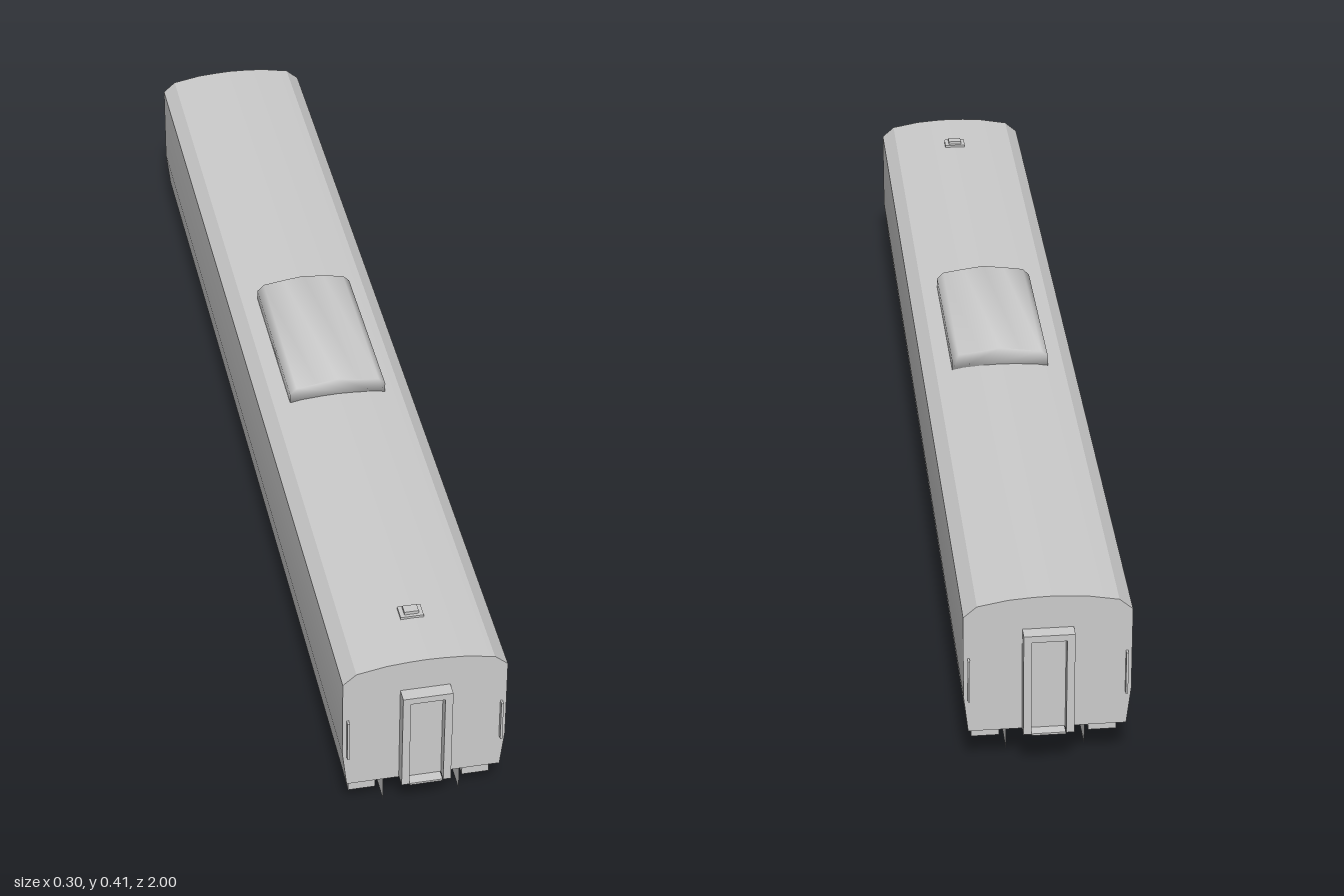
import * as THREE from 'three';
import { mergeVertices, toCreasedNormals } from 'three/addons/utils/BufferGeometryUtils.js';

const material = new THREE.MeshStandardMaterial({ color: 0xcccccc });
const thinMaterial = new THREE.MeshStandardMaterial({ color: 0xcccccc, side: THREE.DoubleSide });

// Closed outline from the right half of a symmetric profile, bottom to top
function mirroredShape(half) {
  const left = half.filter(([x]) => x > 0).reverse().map(([x, y]) => [-x, y]);
  return new THREE.Shape([...half, ...left].map(([x, y]) => new THREE.Vector2(x, y)));
}

// Extrusion running along z from z0 to z1
function extrudeZ(shape, z0, z1) {
  return new THREE.ExtrudeGeometry(shape, { depth: z1 - z0, bevelEnabled: false }).translate(0, 0, z0);
}

export function createModel() {
  const model = new THREE.Group();

  function add(name, geometry, mat = material) {
    const mesh = new THREE.Mesh(geometry, mat);
    mesh.name = name;
    model.add(mesh);
    return mesh;
  }

  // Box given by its limits on each axis
  function box(name, x0, x1, y0, y1, z0, z1) {
    const g = new THREE.BoxGeometry(x1 - x0, y1 - y0, z1 - z0);
    return add(name, g.translate((x0 + x1) / 2, (y0 + y1) / 2, (z0 + z1) / 2));
  }

  // Box repeated on both sides of the carriage
  function sideBoxes(name, x0, x1, y0, y1, z0, z1) {
    box(name + 'Left', x0, x1, y0, y1, z0, z1);
    box(name + 'Right', -x1, -x0, y0, y1, z0, z1);
  }

  // Carriage body with curved roof
  const bodyShape = mirroredShape([
    [0.14, 0.097], [0.148, 0.17], [0.148, 0.335], [0.124, 0.356], [0.07, 0.366], [0.03, 0.369], [0, 0.37],
  ]);
  add('body', toCreasedNormals(extrudeZ(bodyShape, -0.975, 0.975), 0.45));

  // Softly shaded roof pod
  const podShape = mirroredShape([
    [0.093, 0.355], [0.093, 0.381], [0.08, 0.394], [0.04, 0.4], [0, 0.405],
  ]);
  let pod = extrudeZ(podShape, -0.145, 0.2);
  pod.deleteAttribute('normal');
  pod.deleteAttribute('uv');
  pod = mergeVertices(pod);
  pod.computeVertexNormals();
  add('roofPod', pod);

  // Roof vent
  box('ventBase', -0.021, 0.021, 0.365, 0.374, 0.833, 0.863);
  box('ventCap', -0.013, 0.013, 0.374, 0.38, 0.839, 0.857);

  // End gangways, corner rails and coupling plates
  for (const s of [1, -1]) {
    const z = (a, b) => (s > 0 ? [a, b] : [-b, -a]);
    sideBoxes('gangwayPost', 0.031, 0.045, 0.1, 0.305, ...z(0.97, 1));
    box('gangwayLintel', -0.031, 0.031, 0.292, 0.305, ...z(0.97, 1));
    box('gangwayDoor', -0.031, 0.031, 0.1, 0.292, ...z(0.97, 0.98));
    sideBoxes('cornerRail', 0.137, 0.141, 0.165, 0.25, ...z(0.97, 0.985));
    box('couplingPlate', -0.03, 0.03, 0.097, 0.101, ...z(0.95, 1));
  }

  // Long thin underframe sheets
  for (const x of [-0.07, 0.07]) {
    const sheet = new THREE.PlaneGeometry(1.905, 0.065).rotateY(Math.PI / 2);
    add('underframeSheet', sheet.translate(x, 0.0655, 0.0075), thinMaterial);
  }

  // Underfloor equipment
  sideBoxes('endStepBox', 0.08, 0.13, 0.047, 0.1, 0.895, 0.94);
  sideBoxes('endStepBox', 0.08, 0.13, 0.047, 0.1, -0.92, -0.87);
  sideBoxes('batteryBox', 0.085, 0.117, 0.033, 0.1, 0.25, 0.43);
  sideBoxes('equipmentBox', 0.09, 0.126, 0.053, 0.1, -0.32, -0.12);
  box('airTank', -0.085, -0.012, 0.056, 0.081, 0.06, 0.16);
  box('smallLocker', 0.08, 0.115, 0.055, 0.085, 0.06, 0.16);
  sideBoxes('bogieStep', 0.085, 0.1, 0.04, 0.098, -0.775, -0.755);

  // Bogies: side frames, spring blocks and wheels
  const frameShape = mirroredShape([
    [0.125, 0.037], [0.145, 0.05], [0.145, 0.075], [0.13, 0.085],
  ]);
  for (const bogieZ of [0.667, -0.653]) {
    for (const s of [1, -1]) {
      const frame = extrudeZ(frameShape, -0.002, 0.002).rotateY(Math.PI / 2);
      add('bogieFrame', frame.translate(s * 0.085, 0, bogieZ));
      box('springBlock', s * 0.09 - 0.01, s * 0.09 + 0.01, 0.078, 0.099, bogieZ - 0.025, bogieZ + 0.025);
      for (const dz of [-0.108, 0.108]) {
        const wheel = new THREE.CylinderGeometry(0.0435, 0.0435, 0.013, 32).rotateZ(Math.PI / 2);
        add('wheel', wheel.translate(s * 0.07, 0.0435, bogieZ + dz));
      }
    }
  }
  return model;
}
